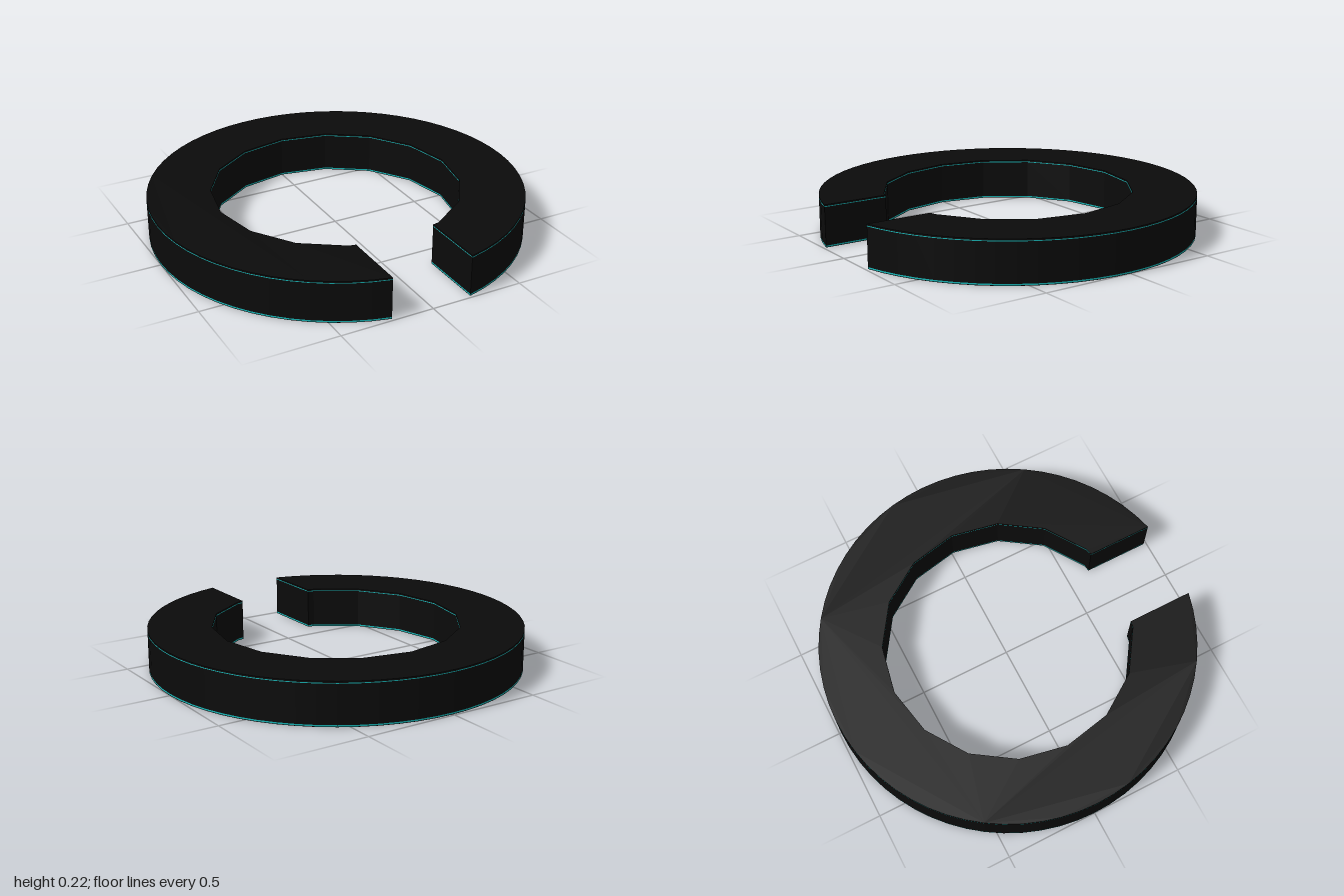
import * as THREE from 'three';

const OUTER = 1, INNER = 0.665, GAP = 0.22, SIDES = 16, STEPS = 60, CENTRE_Z = 0.01;

// Angles start at the front gap and run once round the ring; shape y is -z.
const at = (r, a) => new THREE.Vector2(r * Math.sin(a), -r * Math.cos(a));

// Split ring: round outside, sixteen-sided inside, parallel gap faces
function ringShape() {
  const start = Math.asin(GAP / OUTER);
  const points = [];
  for (let i = 0; i <= STEPS; i++) {
    points.push(at(OUTER, start + (2 * Math.PI - 2 * start) * i / STEPS));
  }
  // where the gap cuts the front inner facets
  const first = at(INNER, 2 * Math.PI / SIDES);
  const cutY = THREE.MathUtils.lerp(-INNER, first.y, GAP / first.x);
  points.push(new THREE.Vector2(-GAP, cutY));
  for (let k = SIDES - 1; k >= 1; k--) points.push(at(INNER, k * 2 * Math.PI / SIDES));
  points.push(new THREE.Vector2(GAP, cutY));
  return new THREE.Shape(points);
}

export function createModel() {
  const group = new THREE.Group();
  group.name = 'splitRing';
  const black = new THREE.MeshStandardMaterial({ color: 0x0b0b0b });
  const cyan = new THREE.MeshStandardMaterial({ color: 0x18b8b8 });
  const shape = ringShape();

  // Stacked layers: name, bottom, top, material
  const layers = [
    ['bottomPlate', 0, 0.003, black],
    ['lowerTrim', 0.003, 0.01, cyan],
    ['ringBody', 0.01, 0.213, black],
    ['upperTrim', 0.213, 0.217, cyan],
    ['topPlate', 0.217, 0.225, black],
  ];
  for (const [name, bottom, top, material] of layers) {
    const geometry = new THREE.ExtrudeGeometry(shape, { depth: top - bottom, bevelEnabled: false });
    geometry.rotateX(-Math.PI / 2);
    const mesh = new THREE.Mesh(geometry, material);
    mesh.name = name;
    mesh.position.set(0, bottom, CENTRE_Z);
    group.add(mesh);
  }
  return group;
}
